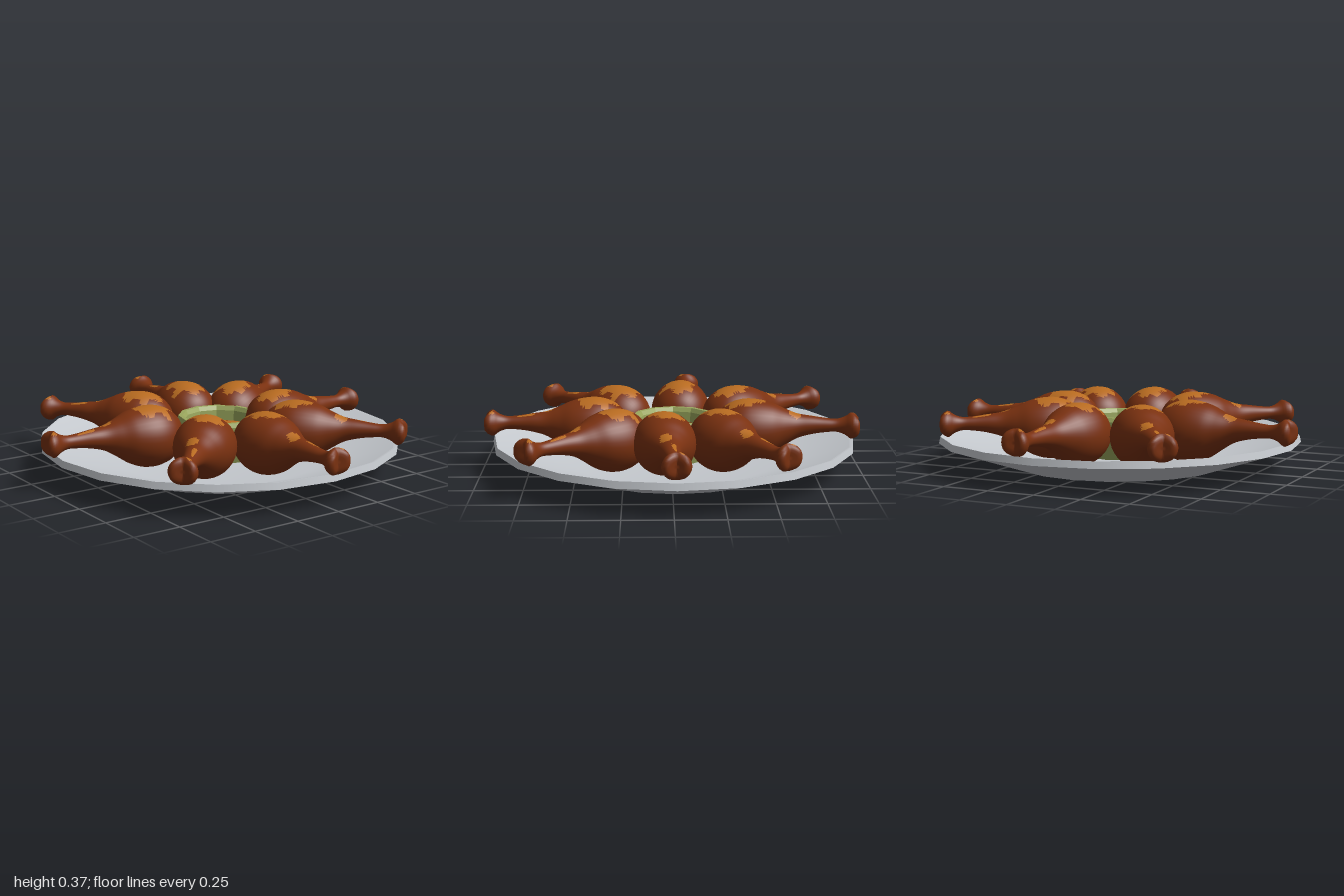
import * as THREE from 'three';
import { mergeVertices } from 'three/addons/utils/BufferGeometryUtils.js';

const CX = 0.018, CZ = -0.015; // centre of plate and cup

function material(name, color) {
  const m = new THREE.MeshStandardMaterial({ color });
  m.name = name;
  return m;
}

function lathe(name, pts, sides, mat) {
  const points = pts.map(([r, y]) => new THREE.Vector2(r, y));
  const mesh = new THREE.Mesh(new THREE.LatheGeometry(points, sides), mat);
  mesh.name = name;
  return mesh;
}

// Browned patches: one broad patch on the meat, small ones on neck, shaft and knuckle
function isGlazed(x, y, t, centreY) {
  if (y < centreY) return false;
  const wobble = 0.13 * Math.sin(t * 70 + x * 25) + 0.12 * Math.sin(x * 75 - t * 30);
  const patches = [
    [0.012, 0.17, 0.092, 0.1],
    [-0.018, 0.425, 0.03, 0.034],
    [0.012, 0.55, 0.01, 0.045],
    [0.03, 0.73, 0.014, 0.014],
  ];
  return patches.some(([px, pt, rx, rt]) => Math.hypot((x - px) / rx, (t - pt) / rt) + wobble < 1);
}

// One drumstick lying along +z from its round end, with material groups for the patches
function drumstickGeometry() {
  const profile = [
    [0, 0], [0.055, 0.008], [0.098, 0.032], [0.137, 0.08], [0.16, 0.15], [0.16, 0.22],
    [0.138, 0.3], [0.1, 0.37], [0.066, 0.44], [0.05, 0.51], [0.038, 0.59], [0.035, 0.65],
    [0.048, 0.69], [0.066, 0.72], [0.068, 0.745], [0.05, 0.768], [0, 0.77],
  ];
  const curve = new THREE.CatmullRomCurve3(profile.map(([r, t]) => new THREE.Vector3(r, t, 0)));
  const points = curve.getSpacedPoints(68).map((p) => new THREE.Vector2(Math.max(p.x, 0), p.y));
  points[0].x = points[points.length - 1].x = 0;

  let geo = new THREE.LatheGeometry(points, 36);
  geo.rotateX(Math.PI / 2);
  geo.deleteAttribute('uv');
  geo.deleteAttribute('normal');
  geo = mergeVertices(geo, 1e-5);

  // Raise the bone end, notch the knuckle
  const lift = (t) => 0.208 + 0.028 * THREE.MathUtils.smoothstep(t, 0.2, 0.55);
  const pos = geo.attributes.position;
  for (let i = 0; i < pos.count; i++) {
    const x = pos.getX(i), t = pos.getZ(i);
    const end = THREE.MathUtils.smoothstep(t, 0.7, 0.765);
    const notch = end * 0.028 * (1 - Math.min(1, Math.abs(x) / 0.045));
    pos.setXYZ(i, x * (1 + 0.1 * end), pos.getY(i) + lift(t), t - notch);
  }
  geo.computeVertexNormals();

  // Sort the triangles into meat and glaze
  const sorted = [[], []];
  const index = geo.index.array;
  for (let i = 0; i < index.length; i += 3) {
    const tri = [index[i], index[i + 1], index[i + 2]];
    const mean = (get) => tri.reduce((sum, v) => sum + get(v), 0) / 3;
    const x = mean((v) => pos.getX(v)), y = mean((v) => pos.getY(v)), t = mean((v) => pos.getZ(v));
    sorted[isGlazed(x, y, t, lift(t)) ? 1 : 0].push(...tri);
  }
  geo.setIndex([...sorted[0], ...sorted[1]]);
  geo.addGroup(0, sorted[0].length, 0);
  geo.addGroup(sorted[0].length, sorted[1].length, 1);
  return geo;
}

export function createModel() {
  const model = new THREE.Group();
  model.name = 'drumstickPlatter';
  const grey = material('plateGrey', 0xc6cacf);
  const green = material('cupGreen', 0x9ba85e);
  const brown = material('roastBrown', 0x7a3110);
  const orange = material('glazeOrange', 0xb86b20);
  green.flatShading = true;

  // Plate, in sections so that its edges stay crisp
  const plate = new THREE.Group();
  plate.name = 'plate';
  plate.position.set(CX, 0, CZ);
  plate.add(
    lathe('plateBase', [[0, 0], [0.56, 0]], 20, grey),
    lathe('plateUnderside', [[0.56, 0], [0.965, 0.135]], 20, grey),
    lathe('plateEdge', [[0.965, 0.135], [0.957, 0.17]], 20, grey),
    lathe('plateLip', [[0.957, 0.17], [0.946, 0.168]], 20, grey),
    lathe('plateInside', [[0.946, 0.168], [0.56, 0.045], [0, 0.045]], 20, grey),
  );
  model.add(plate);

  // Cup of sauce in the middle
  const cup = new THREE.Group();
  cup.name = 'sauceCup';
  cup.position.set(CX, 0, CZ);
  cup.add(lathe('cupWall', [
    [0.18, 0.045], [0.215, 0.14], [0.23, 0.25], [0.222, 0.272], [0.2, 0.272], [0.188, 0.25], [0.178, 0.13],
  ], 12, green));
  const disc = (name, radius, x, y, z, mat) => {
    const mesh = new THREE.Mesh(new THREE.CircleGeometry(radius, 24), mat);
    mesh.name = name;
    mesh.rotation.x = -Math.PI / 2;
    mesh.position.set(x, y, z);
    cup.add(mesh);
  };
  disc('sauce', 0.186, 0, 0.195, 0, brown);
  disc('sauceHighlight', 0.168, 0.012, 0.198, 0.016, orange);
  model.add(cup);

  // Ring of drumsticks: middle of the meat, then the bone tip (x, z)
  const geo = drumstickGeometry();
  const layout = [
    [0.065, -0.41, 0.118, -0.995],
    [0.33, -0.27, 0.8, -0.57],
    [0.42, 0.035, 0.95, -0.015],
    [0.32, 0.32, 0.67, 0.745],
    [0.012, 0.4, 0.017, 0.993],
    [-0.28, 0.28, -0.7, 0.695],
    [-0.4, -0.06, -0.987, -0.11],
    [-0.25, -0.33, -0.6, -0.84],
  ];
  layout.forEach(([mx, mz, tx, tz], i) => {
    const angle = Math.atan2(tx - mx, tz - mz);
    const stick = new THREE.Mesh(geo, [brown, orange]);
    stick.name = `drumstick${i + 1}`;
    stick.rotation.y = angle;
    stick.position.set(tx - 0.768 * Math.sin(angle), 0, tz - 0.768 * Math.cos(angle));
    model.add(stick);
  });
  return model;
}
